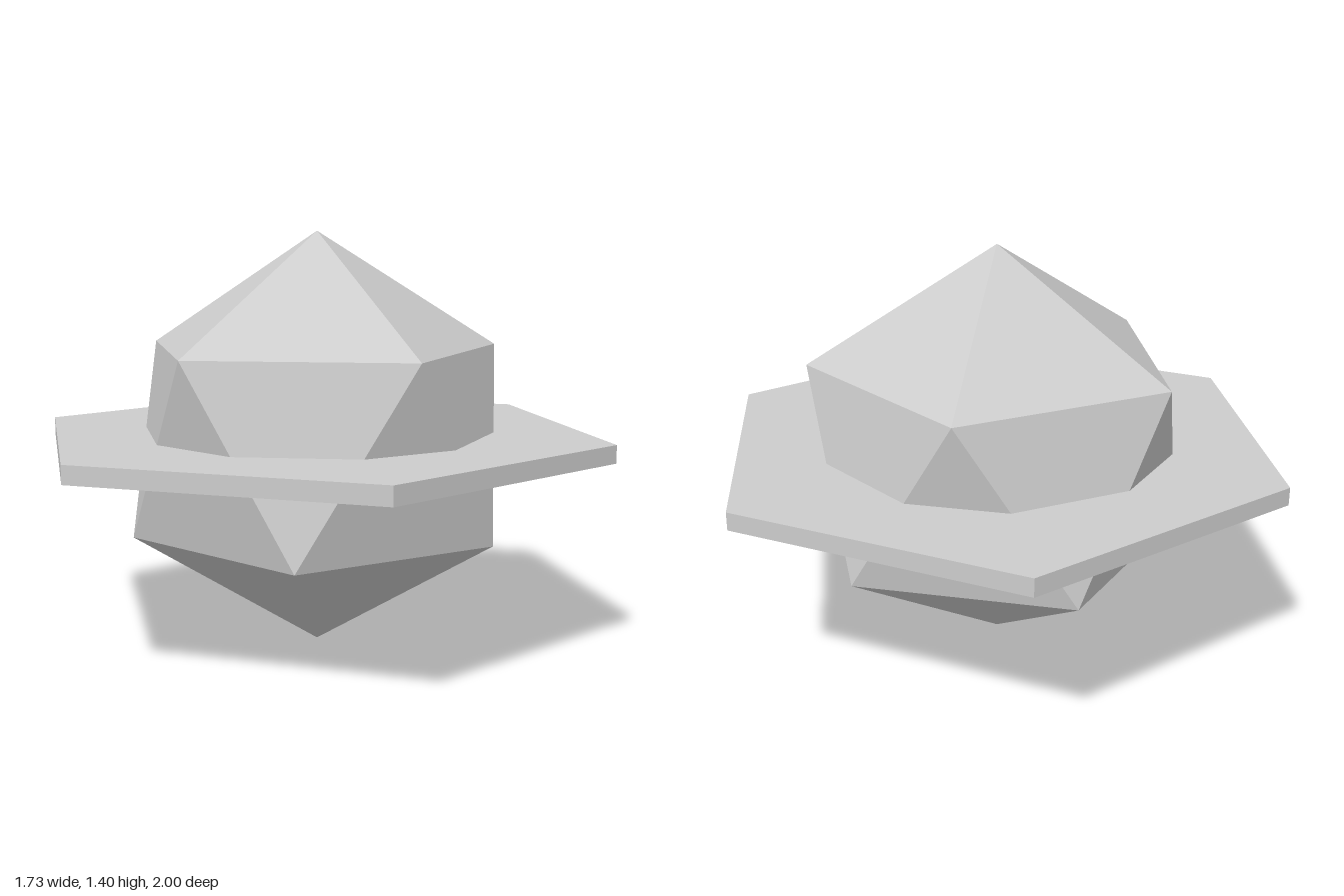
import * as THREE from 'three';
import { ConvexGeometry } from 'three/addons/geometries/ConvexGeometry.js';

const R = 0.7;

// Regular icosahedron standing on one corner: two poles and two staggered rings of five
function gemGeometry() {
  const ringY = R / Math.sqrt(5);
  const ringR = 2 * ringY;
  const points = [new THREE.Vector3(0, R, 0), new THREE.Vector3(0, -R, 0)];
  for (let i = 0; i < 5; i++) {
    const a = (i * 2 * Math.PI) / 5;
    const x = ringR * Math.cos(a), z = ringR * Math.sin(a);
    points.push(new THREE.Vector3(x, ringY, z), new THREE.Vector3(-x, -ringY, -z));
  }
  return new ConvexGeometry(points);
}

export function createModel() {
  const group = new THREE.Group();
  const paleGrey = new THREE.MeshStandardMaterial({ color: 0xcccccc });
  paleGrey.name = 'paleGrey';
  paleGrey.flatShading = true;

  // Faceted core
  const gem = new THREE.Mesh(gemGeometry(), paleGrey);
  gem.name = 'facetedGem';

  // Thin hexagonal plate around the middle, corners pointing front and back
  const plate = new THREE.Mesh(new THREE.CylinderGeometry(1, 1, 0.06, 6), paleGrey);
  plate.name = 'hexagonalPlate';

  for (const part of [gem, plate]) {
    part.position.y = R;
    group.add(part);
  }
  return group;
}
